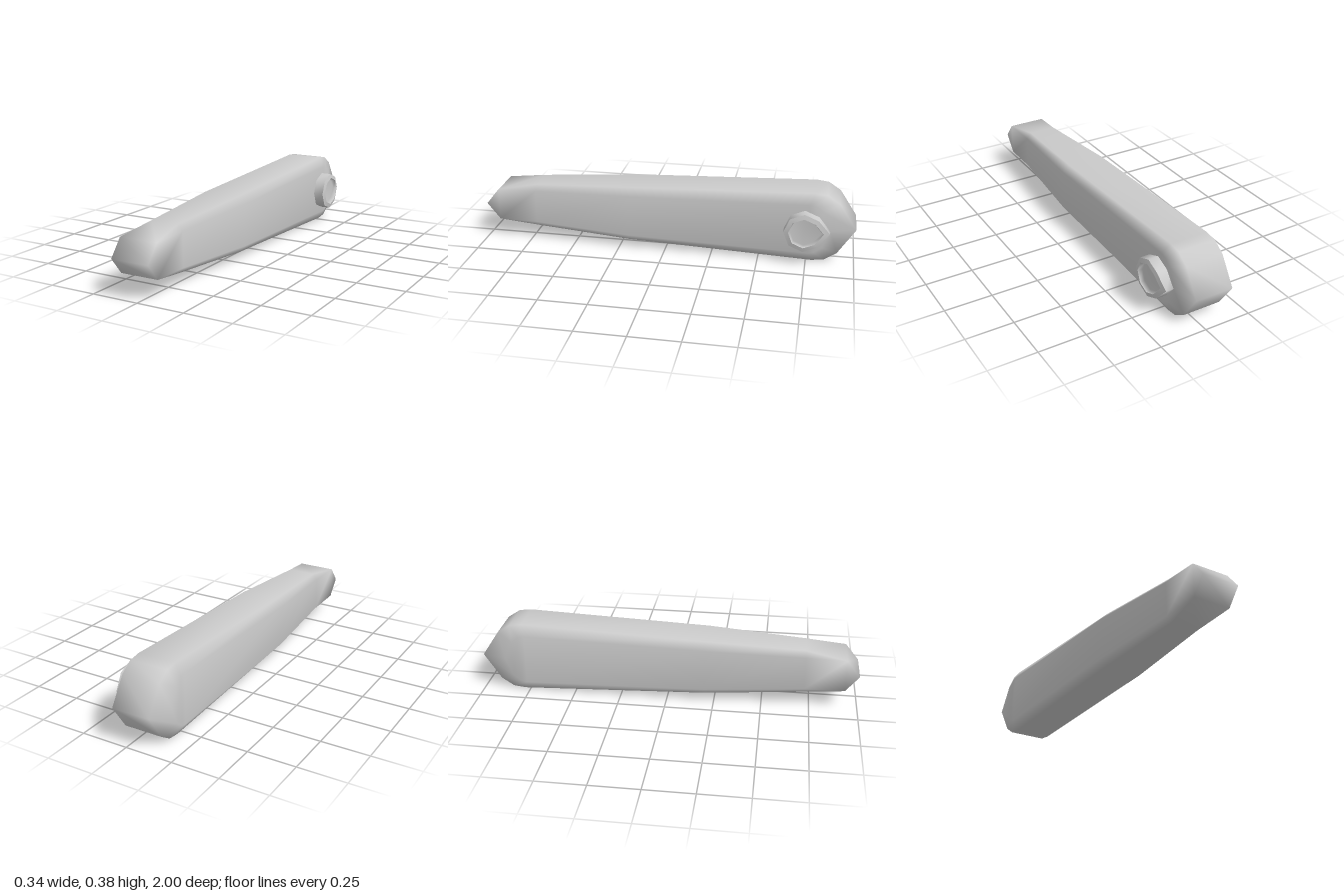
import * as THREE from 'three';
import { mergeVertices } from 'three/addons/utils/BufferGeometryUtils.js';

const MID_X = -0.035, MID_Y = 0.19;

// Skins a list of closed rings (arrays of [x, y, z], equal length) with smooth normals.
function loft(rings) {
  const n = rings[0].length, index = [];
  for (let r = 0; r < rings.length - 1; r++) {
    for (let i = 0; i < n; i++) {
      const a = r * n + i, b = r * n + (i + 1) % n;
      index.push(a, b, a + n, b, b + n, a + n);
    }
  }
  const g = new THREE.BufferGeometry();
  g.setAttribute('position', new THREE.Float32BufferAttribute(rings.flat(2), 3));
  g.setIndex(index);
  const merged = mergeVertices(g, 1e-4);
  merged.computeVertexNormals();
  return merged;
}

export function createModel() {
  const group = new THREE.Group();
  const material = new THREE.MeshStandardMaterial({ color: 0xcccccc, side: THREE.DoubleSide });
  const add = (name, geometry) => {
    const mesh = new THREE.Mesh(geometry, material);
    mesh.name = name;
    group.add(mesh);
  };

  // Bevelled bar: [z of top edge, half width, half height, z of side edge, half width, half height]
  const sections = [
    [1, 0.102, 0, 1, 0.102, 0],
    [0.93, 0.102, 0.087, 0.93, 0.102, 0.087],
    [0.72, 0.075, 0.12, 0.72, 0.102, 0.09],
    [0.2, 0.102, 0.15, 0.2, 0.137, 0.112],
    [-0.78, 0.102, 0.188, -0.76, 0.137, 0.135],
    [-0.845, 0.102, 0.18, -0.79, 0.137, 0.128],
    [-0.91, 0.102, 0.137, -0.83, 0.137, 0.098],
    [-1, 0.102, 0, -0.87, 0.137, 0],
  ];
  add('body', loft(sections.map(([za, a, h, zb, b, s]) => [
    [a, h, za], [b, s, zb], [b, -s, zb], [a, -h, za],
    [-a, -h, za], [-b, -s, zb], [-b, s, zb], [-a, h, za],
  ].map(([x, y, z]) => [x + MID_X, y + MID_Y, z]))));

  // Eight-sided button on the left side, drawn out to a point at the back, with a dished face.
  const buttonRing = (x, radius, dip = 0) => Array.from({ length: 8 }, (_, i) => {
    const t = i * Math.PI / 4;
    const back = i === 4;
    return [x - (back ? dip : 0), MID_Y + radius * Math.sin(t),
      -0.735 + radius * Math.cos(t) * (back ? 1.28 : 1)];
  });
  const wall = loft([
    buttonRing(0.157, 0.104, 0.013), buttonRing(0.08, 0.104),
  ]);
  const rim = loft([
    buttonRing(0.163, 0.08, 0.01), buttonRing(0.157, 0.104, 0.013),
  ]);
  const dish = loft([
    buttonRing(0.168, 0), buttonRing(0.14, 0.072), buttonRing(0.163, 0.08, 0.01),
  ]);
  // Rings run clockwise seen from outside, so the winding is turned around.
  for (const [name, g] of [['buttonWall', wall], ['buttonRim', rim], ['buttonDish', dish]]) {
    g.index.array.reverse();
    g.computeVertexNormals();
    add(name, g);
  }
  return group;
}
